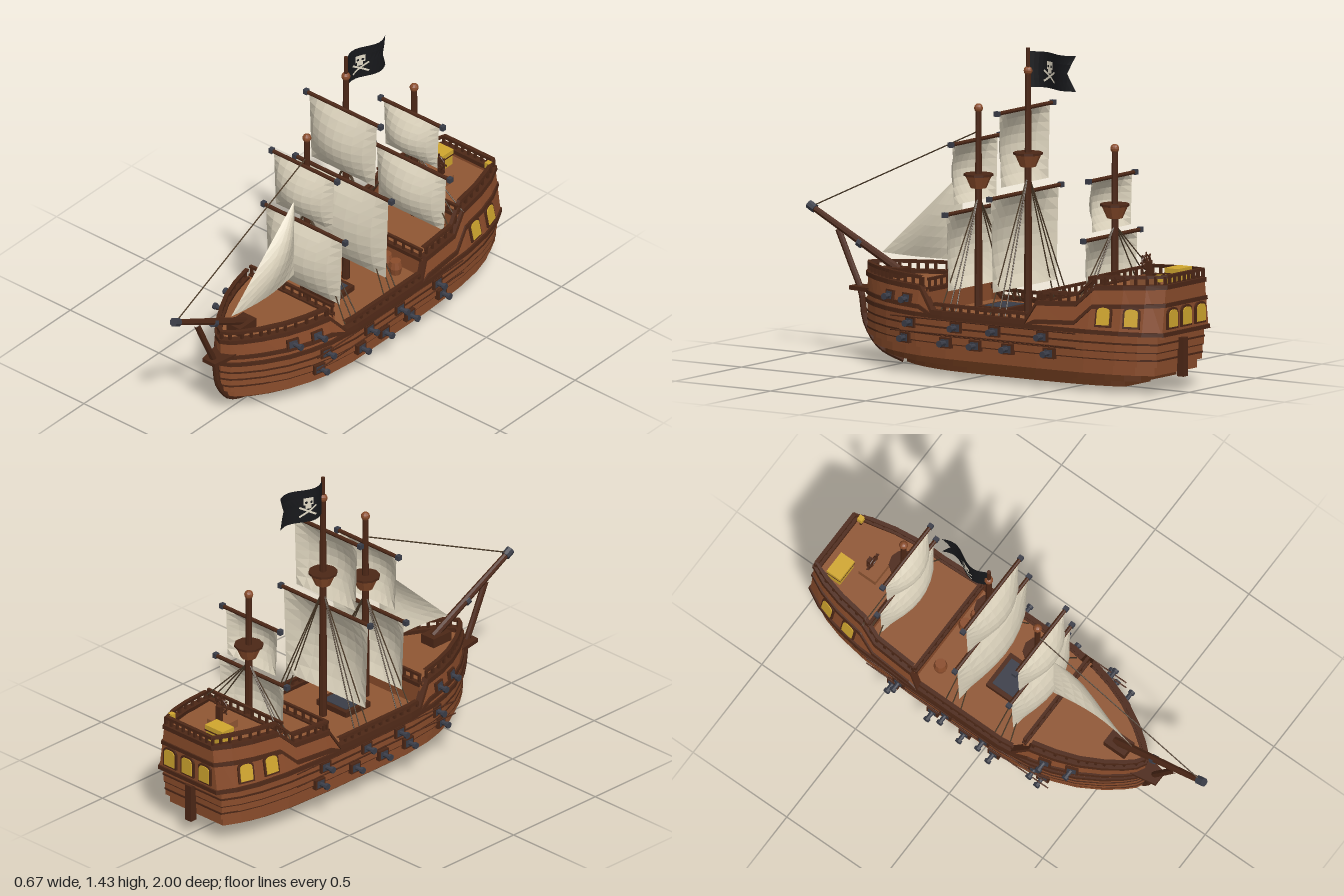
import * as THREE from 'three';

const mat = (name, color, side = THREE.FrontSide) => {
  const m = new THREE.MeshStandardMaterial({ color, side, flatShading: true });
  m.name = name;
  return m;
};
const V = (x, y, z) => new THREE.Vector3(x, y, z);
const lerp = THREE.MathUtils.lerp;
// piecewise linear lookup
const table = (pts) => (t) => {
  for (let i = 1; i < pts.length; i++) {
    const [a, p] = pts[i - 1], [b, q] = pts[i];
    if (t <= b) return lerp(p, q, THREE.MathUtils.clamp((t - a) / (b - a), 0, 1));
  }
  return pts[pts.length - 1][1];
};

// hull plan (z, half width) and sheer line (z, height)
const PLAN = [[-.98, .175], [-.9, .215], [-.8, .245], [-.65, .268], [-.4, .28], [.1, .28], [.25, .262],
  [.35, .235], [.45, .195], [.55, .135], [.62, .08], [.66, .04], [.68, 0]];
const SHEER = [[-.98, .48], [-.66, .46], [-.58, .385], [-.38, .375], [-.33, .29], [.16, .29], [.24, .385], [.68, .39]];
const width = table(PLAN), sheer = table(SHEER);
const taper = (y) => 1 - Math.max(0, y - .27) * .8;

export function createModel() {
  const ship = new THREE.Group();
  ship.name = 'sailingShip';
  const D = THREE.DoubleSide;
  const hull = mat('hullWood', 0x8a4c2b), deck = mat('deckWood', 0x8f5633), dark = mat('darkWood', 0x4c2716);
  const keel = mat('keelWood', 0x613319), iron = mat('iron', 0x3a3d48), gold = mat('gold', 0xd0a62e);
  const canvas = mat('canvas', 0xd9d0ba, D), black = mat('flagCloth', 0x17181b, D);
  const rope = mat('rope', 0x4b3a28), bone = mat('bone', 0xe2dac6, D);

  const add = (name, geo, m, pos = [0, 0, 0], parent = ship) => {
    const mesh = new THREE.Mesh(geo, m);
    mesh.name = name;
    mesh.position.set(...pos);
    parent.add(mesh);
    return mesh;
  };
  const box = (name, w, h, d, m, pos, parent) => add(name, new THREE.BoxGeometry(w, h, d), m, pos, parent);
  const rod = (name, a, b, r, m, r2 = r, sides = 8) => {
    const mesh = add(name, new THREE.CylinderGeometry(r2, r, a.distanceTo(b), sides), m);
    mesh.position.copy(a).lerp(b, .5);
    mesh.quaternion.setFromUnitVectors(V(0, 1, 0), b.clone().sub(a).normalize());
    return mesh;
  };

  // path along the hull side: full, bow, stern, or one side
  const path = (kind, z0 = -.98, z1 = .68) => {
    const zs = [...new Set([z0, z1, ...PLAN.map(p => p[0]), ...SHEER.map(p => p[0])])]
      .filter(z => z >= z0 && z <= z1).sort((a, b) => a - b);
    const left = zs.map(z => ({ z, x: width(z) }));
    const right = zs.map(z => ({ z, x: -width(z) })).reverse().filter(p => p.x < 0);
    const pts = { full: [...left, ...right], bow: [...left, ...right], stern: [...right, ...left], left, right }[kind];
    const n = pts.length, closed = kind === 'full';
    pts.forEach((p, i) => {
      const a = closed ? pts[(i + n - 1) % n] : pts[Math.max(0, i - 1)];
      const b = closed ? pts[(i + 1) % n] : pts[Math.min(n - 1, i + 1)];
      const l = Math.hypot(b.x - a.x, b.z - a.z);
      p.nx = (b.z - a.z) / l;
      p.nz = -(b.x - a.x) / l;
    });
    pts.closed = closed;
    return pts;
  };
  // rectangular band following the hull between two heights
  const strake = (name, pts, lo, hi, out, inn, m) => {
    const rings = pts.map(p => [[lo, out], [hi, out], [hi, inn], [lo, inn]].map(([f, o]) => {
      const y = f(p.z);
      return [p.x * taper(y) + p.nx * o, y, p.z + p.nz * o];
    }));
    const pos = [], n = rings.length;
    for (let i = 0; i < (pts.closed ? n : n - 1); i++) for (let j = 0; j < 4; j++) {
      const A = rings[i], B = rings[(i + 1) % n], k = (j + 1) % 4;
      pos.push(...A[j], ...A[k], ...B[k], ...A[j], ...B[k], ...B[j]);
    }
    const g = new THREE.BufferGeometry();
    g.setAttribute('position', new THREE.Float32BufferAttribute(pos, 3));
    g.computeVertexNormals();
    return add(name, g, m);
  };
  // solid slab with the hull plan, between z0 and z1
  const slab = (name, z0, z1, y0, y1, sx, m, map = z => z) => {
    const pts = path('full', z0, z1).map(p => new THREE.Vector2(p.x * sx, -map(p.z)));
    const g = new THREE.ExtrudeGeometry(new THREE.Shape(pts), { depth: y1 - y0, bevelEnabled: false });
    return add(name, g.rotateX(-Math.PI / 2), m, [0, y0, 0]);
  };

  // stepped lower hull
  [[.02, .055, .55, -.73, .48, keel], [.055, .09, .76, -.84, .59, keel], [.09, .13, .92, -.93, .65, hull],
    [.13, .16, .965, -.95, .68, hull], [.16, .195, .985, -.95, .68, hull], [.195, .23, 1, -.955, .68, hull],
    [.23, .27, 1, -.955, .68, hull]].forEach(([y0, y1, sx, a, b, m]) => {
    const map = z => lerp(a, b, (z + .98) / 1.66);
    slab('lowerHull', -.98, .68, y0, y1, sx, m, map);
    if (y0 > .1) slab('plankSeam', -.98, .68, y1 - .005, y1 + .003, sx * 1.012, dark, z => map(z) * 1.004);
  });
  // upper walls, wales and sheer trim
  const full = path('full');
  strake('upperHull', full, () => .265, sheer, 0, -.02, hull);
  strake('wale', full, () => .265, () => .283, .008, -.01, dark);
  strake('upperWale', full, z => Math.max(.27, sheer(z) - .088), z => Math.max(.282, sheer(z) - .07), .007, -.01, dark);
  strake('sheerTrim', full, z => sheer(z) - .01, z => sheer(z) + .01, .009, -.024, dark);
  // decks with their bulkheads
  slab('mainDeck', -.4, .25, .25, .28, .97, [deck, hull]);
  slab('foreDeck', .2, .665, .25, .38, .88, [deck, hull]);
  slab('quarterDeck', -.66, -.37, .25, .37, .9, [deck, hull]);
  slab('poopDeck', -.975, -.63, .25, .455, .84, [deck, hull]);

  // railings
  const rail = (pts, h) => {
    strake('handrail', pts, z => sheer(z) + h - .008, z => sheer(z) + h + .006, .003, -.015, dark);
    for (let i = 1; i < pts.length; i++) {
      const a = pts[i - 1], b = pts[i], n = Math.max(1, Math.round(Math.hypot(b.x - a.x, b.z - a.z) / .045));
      for (let k = 0; k < n; k++) {
        const z = lerp(a.z, b.z, k / n), y = sheer(z) + h / 2;
        box('baluster', .011, h, .011, dark, [lerp(a.x, b.x, k / n) * taper(y) - a.nx * .006, y, z - a.nz * .006]);
      }
    }
  };
  rail(path('bow', .24, .68), .045);
  rail(path('stern', -.98, -.38), .045);
  rail(path('left', -.33, .16), .035);
  rail(path('right', -.33, .16), .035);
  [[.205, .38, .235], [-.372, .37, .245], [-.632, .455, .225]].forEach(([z, y, w]) => {
    box('deckBeam', w * 2, .018, .022, dark, [0, y, z]);
    box('breastRail', w * 2, .012, .013, dark, [0, y + .045, z]);
    for (let i = -5; i <= 5; i++) box('baluster', .01, .045, .01, dark, [i * w / 5.2, y + .022, z]);
  });

  // frame on the hull side, local +z pointing outward
  const onSide = (name, z, y, s) => {
    const g = new THREE.Group(), e = .02;
    const slope = (width(z + e) - width(z - e)) / (2 * e);
    g.name = name;
    g.position.set(s * width(z) * taper(y), y, z);
    g.rotation.order = 'YXZ';
    g.rotation.y = Math.atan2(s, -slope);
    g.rotation.x = y > .28 ? -Math.atan(.8 * width(z)) : 0;
    ship.add(g);
    return g;
  };
  // arched windows
  const arch = (w, h, d) => {
    const s = new THREE.Shape();
    s.moveTo(-w / 2, -h / 2).lineTo(w / 2, -h / 2).lineTo(w / 2, h / 2 - w * .3);
    s.quadraticCurveTo(w / 2, h / 2, 0, h / 2).quadraticCurveTo(-w / 2, h / 2, -w / 2, h / 2 - w * .3);
    return new THREE.ExtrudeGeometry(s, { depth: d, bevelEnabled: false, curveSegments: 4 });
  };
  const windowOn = (g) => {
    add('windowFrame', arch(.078, .094, .009), dark, [0, 0, 0], g);
    add('windowPane', arch(.06, .076, .006), gold, [0, 0, .007], g);
  };
  for (const s of [1, -1]) for (const z of [-.722, -.85]) windowOn(onSide('sideWindow', z, .342, s));
  for (const x of [-.105, 0, .105]) {
    const g = new THREE.Group();
    g.name = 'sternWindow';
    g.position.set(x, .342, -.98);
    g.rotation.y = Math.PI;
    ship.add(g);
    windowOn(g);
  }
  box('rudder', .035, .17, .035, dark, [0, .16, -.965]);

  // gun ports and cannons
  [[.28, .235], [.026, .235], [-.176, .235], [-.427, .235], [.315, .165], [.08, .165], [-.075, .165],
    [-.245, .165], [-.46, .165], [.43, .332], [.315, .332]].forEach(([z, y]) => {
    for (const s of [1, -1]) {
      const g = onSide('gunPort', z, y, s), x = g.position.x;
      box('portFrame', .058, .046, .022, dark, [0, 0, 0], g);
      box('portOpening', .04, .032, .026, iron, [0, 0, 0], g);
      rod('cannonBarrel', V(x - s * .02, y, z), V(x + s * .05, y, z), .012, iron, .009);
      rod('cannonMuzzle', V(x + s * .042, y, z), V(x + s * .055, y, z), .015, iron);
    }
  });
  for (const s of [1, -1]) for (const y of [.2, .262]) rod('rubbingRod', V(s * .285, y, -.6), V(s * .285, y, .37), .003, dark);

  // stem, beak and bowsprit
  const stem = new THREE.CatmullRomCurve3([V(0, .02, .49), V(0, .07, .62), V(0, .17, .695), V(0, .3, .72), V(0, .41, .77), V(0, .56, .84)]);
  add('stem', new THREE.TubeGeometry(stem, 18, .014, 8), dark);
  const beak = new THREE.Shape([[-.06, -.62], [-.035, -.76], [.035, -.76], [.06, -.62]].map(p => new THREE.Vector2(...p)));
  add('beak', new THREE.ExtrudeGeometry(beak, { depth: .018, bevelEnabled: false }).rotateX(-Math.PI / 2), dark, [0, .308, 0]);
  box('bowspritStep', .075, .045, .11, dark, [0, .4, .54]);
  rod('bowsprit', V(0, .41, .52), V(0, .645, .975), .019, dark, .014);
  rod('bowspritCap', V(0, .638, .962), V(0, .656, .995), .02, iron);
  rod('bowspritBand', V(0, .505, .715), V(0, .515, .735), .021, iron);
  rod('forestay', V(0, 1.05, .105), V(0, .65, .975), .003, rope, .003, 5);

  // deformed grid: fn(u, v) gives the point
  const sheet = (name, fn, nu, nv, m) => {
    const g = new THREE.PlaneGeometry(1, 1, nu, nv), p = g.attributes.position;
    for (let i = 0; i < p.count; i++) p.setXYZ(i, ...fn(p.getX(i) + .5, p.getY(i) + .5));
    const f = g.toNonIndexed();
    f.computeVertexNormals();
    return add(name, f, m);
  };
  // masts: z, foot, top, ball, nest, shroud half width, sails [yard y, yard half, sail bottom, sail half]
  [[.105, .28, 1.14, 1.15, .835, [[1.01, .185, .745, .17], [.71, .23, .375, .215]]],
    [-.155, .28, 1.435, 1.335, .95, [[1.17, .21, .845, .19], [.805, .27, .395, .255]]],
    [-.61, .36, 1.03, 1.035, .765, [[.91, .175, .685, .155], [.655, .215, .375, .195]]]].forEach(([z, y0, y1, ball, nest, sails]) => {
    rod('mast', V(0, y0, z), V(0, Math.min(y1, ball), z), .018, dark, .013);
    if (y1 > ball) rod('flagPole', V(0, ball, z), V(0, y1, z), .009, dark);
    add('mastBall', new THREE.SphereGeometry(.02, 10, 8), hull, [0, ball, z]);
    add('crowsNest', new THREE.CylinderGeometry(.058, .034, .055, 10), hull, [0, nest - .005, z]);
    add('nestRim', new THREE.CylinderGeometry(.064, .064, .01, 10), dark, [0, nest + .025, z]);
    sails.forEach(([y, half, bottom, sw]) => {
      rod('yard', V(-half, y, z + .016), V(half, y, z + .016), .009, dark);
      for (const s of [1, -1]) box('yardCap', .02, .022, .022, iron, [s * half, y, z + .016]);
      sheet('sail', (u, v) => [(u - .5) * 2 * sw * lerp(.94, 1, v), lerp(bottom, y, v),
        z + .018 + .075 * Math.sin(Math.PI * u) ** .7 * Math.sin(Math.PI * v) ** .8], 8, 8, canvas);
    });
    for (const s of [1, -1]) for (const dz of [-.05, -.015, .03]) {
      const foot = z + dz;
      rod('shroud', V(0, nest - .06, z), V(s * width(foot) * .88, sheer(foot), foot), .003, rope, .003, 5);
    }
  });
  // jib between bowsprit and foremast
  sheet('jib', (u, v) => [.05 * Math.sin(Math.PI * u) * Math.sin(Math.PI * (.15 + .85 * v)),
    lerp(.48, .865, v), lerp(lerp(.61, .19, u), .19, v)], 8, 8, canvas);

  // waving swallow-tailed flag with its emblem
  const wave = (z) => -.024 * Math.sin((-.16 - z) * 24);
  sheet('flag', (u, v) => {
    const z = -.16 - u * (.25 - .035 * (1 - Math.abs(2 * v - 1)));
    return [wave(z), lerp(1.265, 1.42, v), z];
  }, 12, 4, black);
  const emblem = (name, geo, m, a, b, off) => {
    for (const s of [1, -1]) {
      const g = geo.clone(), p = g.attributes.position;
      for (let i = 0; i < p.count; i++) {
        const z = -.262 + a + p.getX(i);
        p.setXYZ(i, wave(z) + s * off, 1.345 + b + p.getY(i), z);
      }
      g.computeVertexNormals();
      add(name, g, m);
    }
  };
  emblem('skull', new THREE.PlaneGeometry(.044, .034, 4, 2), bone, 0, .02, .004);
  emblem('jaw', new THREE.PlaneGeometry(.026, .02, 3, 1), bone, 0, -.005, .004);
  for (const s of [1, -1]) {
    emblem('crossbone', new THREE.PlaneGeometry(.088, .009, 8, 1).rotateZ(s * .55), bone, 0, -.028, .004);
    emblem('eye', new THREE.CircleGeometry(.006, 8), black, s * .011, .016, .006);
  }

  // deck fittings
  box('hatchFrame', .18, .03, .15, dark, [0, .29, -.03]);
  box('hatchGrating', .14, .034, .11, iron, [0, .291, -.03]);
  for (const [x, z] of [[-.14, -.31], [.14, -.32], [.075, -.335]]) {
    const prof = [[0, 0], [.024, 0], [.031, .032], [.024, .064], [0, .064]].map(p => new THREE.Vector2(...p));
    add('barrel', new THREE.LatheGeometry(prof, 10), hull, [x, .28, z]);
  }
  box('helmPlatform', .1, .04, .09, deck, [0, .47, -.77]);
  box('helmPost', .025, .09, .02, dark, [0, .515, -.79]);
  add('helmWheel', new THREE.TorusGeometry(.03, .005, 6, 16), dark, [0, .555, -.775]);
  for (let i = 0; i < 4; i++) box('helmSpoke', .088, .006, .006, dark, [0, .555, -.775]).rotation.z = i * Math.PI / 4;
  box('chest', .1, .055, .065, gold, [-.09, .482, -.88]);
  box('chestLid', .106, .022, .072, gold, [-.09, .52, -.88]);
  box('chestBand', .108, .006, .074, dark, [-.09, .507, -.88]);
  rod('lanternPost', V(.14, .455, -.94), V(.14, .5, -.94), .006, dark);
  box('lantern', .024, .03, .024, gold, [.14, .515, -.94]);
  return ship;
}
